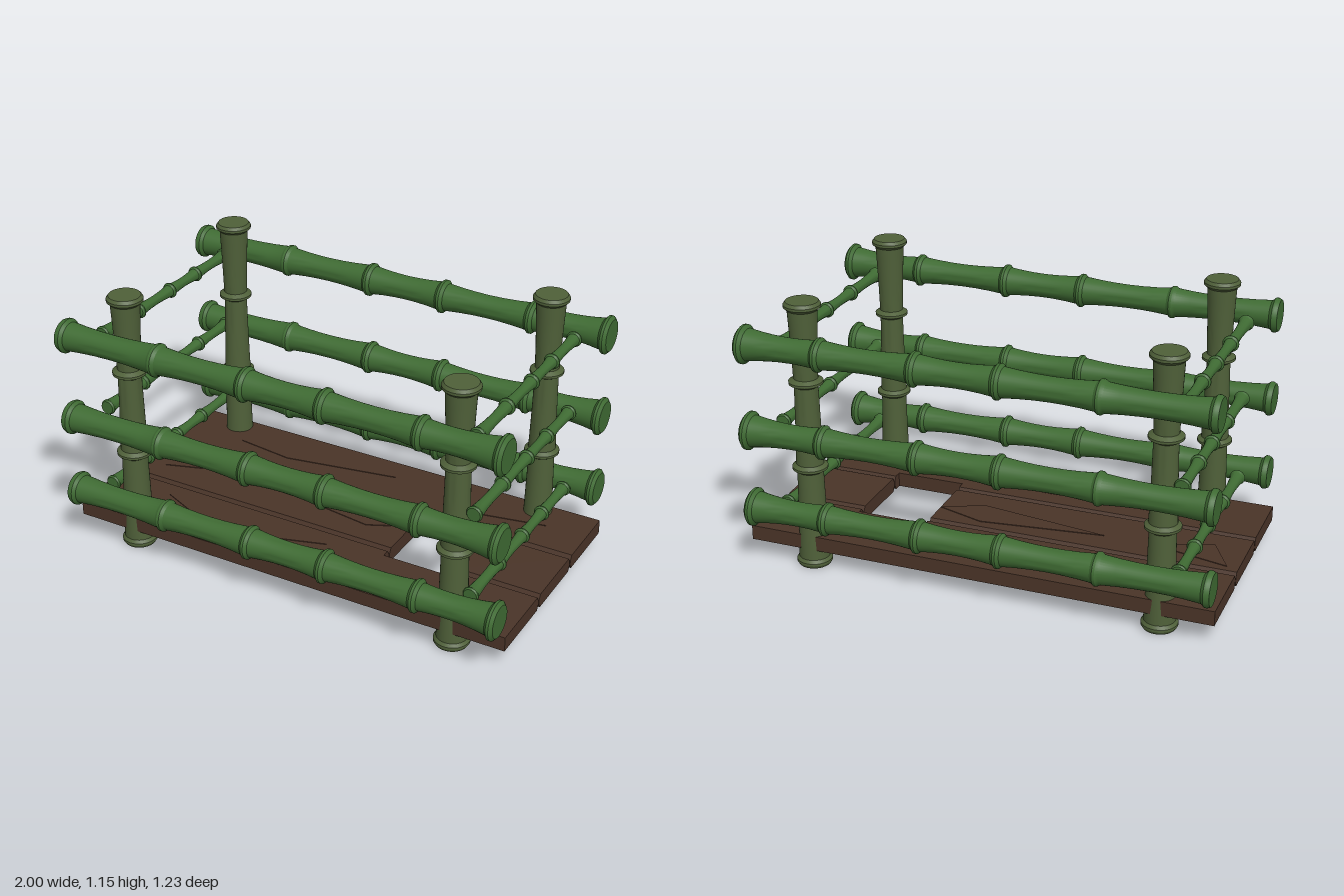
import * as THREE from 'three';
import { toCreasedNormals } from 'three/addons/utils/BufferGeometryUtils.js';

const poleMat = new THREE.MeshStandardMaterial({ color: 0x3f6b33 });
const postMat = new THREE.MeshStandardMaterial({ color: 0x4f6039 });
const plankMat = new THREE.MeshStandardMaterial({ color: 0x4a3428 });

// Bamboo cane along +y. nodes: [position, ring radius, neck radius below, neck radius above]
// waist: how far each section narrows between its necks; w: half width of a ring
function bamboo(nodes, waist, w, capRadius, sides) {
  const pts = [];
  const add = (r, y) => pts.push(new THREE.Vector2(r, y));
  const last = nodes.length - 1;
  add(0, nodes[0][0] - w);
  add(capRadius, nodes[0][0] - w);
  nodes.forEach(([y, ring, below, above], i) => {
    if (i > 0) add(below, y - w);
    add(ring, y - w * 0.3);
    add(ring, y + w * 0.3);
    if (i === last) return;
    add(above, y + w);
    const [yNext, , neckNext] = nodes[i + 1];
    for (let k = 1; k < 6; k++) {
      const t = k / 6;
      add(THREE.MathUtils.lerp(above, neckNext, t) - waist * 4 * t * (1 - t),
        THREE.MathUtils.lerp(y + w, yNext - w, t));
    }
  });
  const end = nodes[last][0] + w;
  add(capRadius, end);
  add(0, end);
  return toCreasedNormals(new THREE.LatheGeometry(pts, sides), 0.5);
}

// Plank piece along x with chamfered long edges where it meets a neighbour
function plankPiece(x0, x1, z0, z1, chamferBack, chamferFront) {
  const y0 = 0.08, y1 = 0.143, cz = 0.012, cy = 0.022;
  const s = new THREE.Shape();
  const edge = (z, inward, chamfer, up) => {
    const pts = chamfer
      ? [[z + inward * cz, y0], [z, y0 + cy], [z, y1 - cy], [z + inward * cz, y1]]
      : [[z, y0], [z, y1]];
    return up ? pts : pts.reverse();
  };
  const outline = [...edge(z1, -1, chamferFront, false), ...edge(z0, 1, chamferBack, true)];
  s.setFromPoints(outline.map(([z, y]) => new THREE.Vector2(-z, y)));
  const g = new THREE.ExtrudeGeometry(s, { depth: x1 - x0, bevelEnabled: false });
  return g.rotateY(Math.PI / 2).translate(x0, 0, 0);
}

export function createModel() {
  const model = new THREE.Group();
  const addMesh = (parent, name, geometry, material, x = 0, y = 0, z = 0) => {
    const mesh = new THREE.Mesh(geometry, material);
    mesh.name = name;
    mesh.position.set(x, y, z);
    parent.add(mesh);
  };
  const addGroup = (name) => {
    const g = new THREE.Group();
    g.name = name;
    model.add(g);
    return g;
  };

  // Corner posts
  const posts = addGroup('cornerPosts');
  const postGeo = bamboo([
    [0.018, 0.074, 0.066, 0.064],
    [0.44, 0.073, 0.054, 0.057],
    [0.813, 0.07, 0.049, 0.05],
    [1.137, 0.075, 0.061, 0.061],
  ], 0.001, 0.018, 0.066, 32);
  [
    ['frontLeftPost', 0.742, 0.408],
    ['frontRightPost', -0.742, 0.408],
    ['backLeftPost', 0.728, -0.436],
    ['backRightPost', -0.765, -0.429],
  ].forEach(([name, x, z]) => addMesh(posts, name, postGeo, postMat, x, 0, z));

  // Long rails, three in front and three behind
  const rails = addGroup('longRails');
  const railGeo = bamboo([
    [-0.942, 0.072, 0.06, 0.06],
    [-0.505, 0.068, 0.06, 0.058],
    [-0.1, 0.071, 0.06, 0.06],
    [0.245, 0.071, 0.06, 0.058],
    [0.65, 0.069, 0.058, 0.056],
    [0.977, 0.08, 0.066, 0.066],
  ], 0.01, 0.018, 0.066, 32).rotateZ(-Math.PI / 2);
  [0.265, 0.607, 0.98].forEach((y) => {
    addMesh(rails, 'frontRail', railGeo, poleMat, 0, y, 0.535);
    addMesh(rails, 'backRail', railGeo, poleMat, -0.04, y, -0.538);
  });

  // Thin rails across both ends
  const endRails = addGroup('endRails');
  const endRailGeo = bamboo([
    [-0.458, 0.033, 0.027, 0.027],
    [-0.235, 0.033, 0.026, 0.026],
    [-0.042, 0.033, 0.026, 0.026],
    [0.183, 0.034, 0.026, 0.026],
    [0.432, 0.033, 0.029, 0.029],
  ], 0.006, 0.01, 0.028, 20).rotateX(Math.PI / 2);
  [0.268, 0.632, 0.968].forEach((y) => {
    addMesh(endRails, 'leftEndRail', endRailGeo, poleMat, 0.826, y, 0);
    addMesh(endRails, 'rightEndRail', endRailGeo, poleMat, -0.843, y, 0);
  });

  // Floor planks, cut away around a rectangular opening
  const floor = addGroup('floor');
  const xs = [-0.998, 0.323, 0.628, 0.99];
  for (let i = 0; i < 3; i++) {
    const [a, b] = [xs[i], xs[i + 1]];
    const open = i === 1;
    addMesh(floor, 'backPlank', plankPiece(a, b, -0.487, open ? -0.21 : -0.174, false, !open), plankMat);
    addMesh(floor, 'frontPlank', plankPiece(a, b, open ? 0.193 : 0.147, 0.463, !open, false), plankMat);
    if (!open) addMesh(floor, 'middlePlank', plankPiece(a, b, -0.167, 0.142, true, true), plankMat);
  }

  // Angular wood grain facets on the planks, as [x, z] corners
  [
    [[-0.68, -0.315], [-0.41, -0.36], [0.08, -0.37], [-0.42, -0.28]],
    [[0.41, -0.41], [0.81, -0.335], [0.45, -0.265]],
    [[-0.95, -0.125], [-0.605, -0.05], [-0.86, 0.035]],
    [[-0.41, -0.05], [0.115, -0.115], [0.32, -0.05], [0.15, 0.03]],
    [[-0.7, 0.235], [0.08, 0.24], [-0.37, 0.38]],
    [[0.66, 0.34], [0.8, 0.245], [0.905, 0.315]],
  ].forEach((corners) => {
    const s = new THREE.Shape(corners.map(([x, z]) => new THREE.Vector2(x, -z)));
    const g = new THREE.ExtrudeGeometry(s, { depth: 0.004, bevelEnabled: false });
    addMesh(floor, 'woodGrain', g.rotateX(-Math.PI / 2), plankMat, 0, 0.142, 0);
  });

  return model;
}
